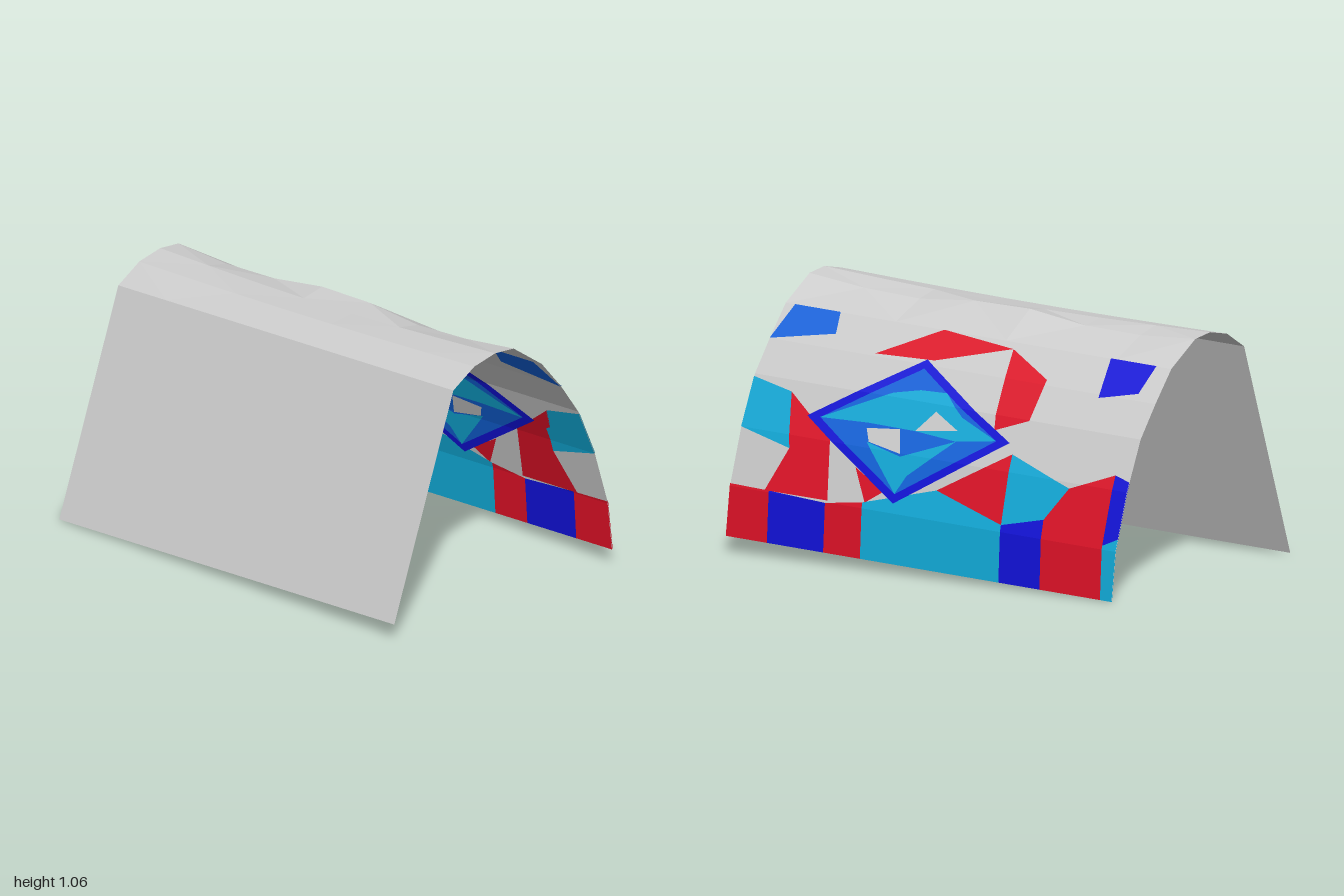
import * as THREE from 'three';

// Front edge of the vault, from the foot of the plain wall over the crown to the patterned foot
const EDGE = [
  [-0.645, 0.075, 0.78], [-0.30, 0.97, 0.81], [-0.19, 1.04, 0.83], [-0.08, 1.065, 0.85],
  [0.02, 1.055, 0.865], [0.15, 0.955, 0.905], [0.25, 0.83, 0.925], [0.33, 0.70, 0.95],
  [0.41, 0.50, 0.97], [0.47, 0.27, 0.99], [0.485, 0.07, 1.0],
].map(p => new THREE.Vector3(...p));
const SWEEP = new THREE.Vector3(0.16, -0.067, -1.783); // front edge to back edge
const FIRST = 5; // first profile row that carries the pattern
const LAST = EDGE.length - 1;
const SEGMENTS = 7;

const RED = 0xdd1026, BLUE = 0x1010d8, CYAN = 0x10aad8, AZURE = 0x1062da, GREY = 0xcccccc;

// Outward direction of the profile at each row
const OUT = EDGE.map((p, i) => {
  const a = EDGE[Math.max(i - 1, 0)], b = EDGE[Math.min(i + 1, LAST)];
  return new THREE.Vector3(-(b.y - a.y), b.x - a.x, 0).normalize();
});

// Uneven sag of the crown along its length, none at the two ends
function sag(row, t) {
  const ends = Math.sin(Math.PI * t);
  if (row === 3) return -0.022 * ends;
  if (row === 4) return -0.02 * ends * (1 + 1.6 * Math.cos(9 * t - 1.5));
  return row === 2 ? -0.01 * ends : 0;
}

function mesh(name, positions, color) {
  const geometry = new THREE.BufferGeometry();
  geometry.setAttribute('position', new THREE.Float32BufferAttribute(positions, 3));
  geometry.computeVertexNormals();
  const material = new THREE.MeshStandardMaterial({ color, flatShading: true, side: THREE.DoubleSide });
  const m = new THREE.Mesh(geometry, material);
  m.name = name;
  return m;
}

// Grey shell between two profile rows
function shell(name, from, to) {
  const at = (i, j) => {
    const t = j / SEGMENTS;
    const p = EDGE[i].clone().addScaledVector(SWEEP, t);
    p.y += sag(i, t);
    return p.toArray();
  };
  const out = [];
  for (let i = from; i < to; i++) {
    for (let j = 0; j < SEGMENTS; j++) {
      const a = at(i, j), b = at(i + 1, j), c = at(i + 1, j + 1), d = at(i, j + 1);
      out.push(...((i + j) % 2 ? [a, b, c, a, c, d] : [a, b, d, b, c, d]).flat());
    }
  }
  return mesh(name, out, GREY);
}

// Side position (z, y) to surface coordinates: t along the sweep, v = height on the front edge
function unroll([z, y]) {
  let t = 0.5, v = y;
  for (let k = 0; k < 4; k++) {
    v = THREE.MathUtils.clamp(y - SWEEP.y * t, EDGE[LAST].y, EDGE[FIRST].y);
    let i = FIRST;
    while (i < LAST - 1 && EDGE[i + 1].y > v) i++;
    const f = (v - EDGE[i].y) / (EDGE[i + 1].y - EDGE[i].y);
    const z0 = THREE.MathUtils.lerp(EDGE[i].z, EDGE[i + 1].z, f);
    t = THREE.MathUtils.clamp((z - z0) / SWEEP.z, 0, 1);
  }
  return new THREE.Vector2(t, v);
}

// Keeps the part of a polygon above (sign 1) or below (sign -1) a height
function cut(poly, height, sign) {
  const out = [];
  poly.forEach((p, k) => {
    const q = poly[(k + 1) % poly.length];
    const dp = (p.y - height) * sign, dq = (q.y - height) * sign;
    if (dp >= 0) out.push(p);
    if (dp * dq < 0) out.push(p.clone().lerp(q, dp / (dp - dq)));
  });
  return out;
}

// Coloured patch laid on both faces of the shell, corners as (z, y)
function patch(name, color, layer, corners) {
  const poly = corners.map(unroll);
  const out = [];
  for (let i = FIRST; i < LAST; i++) {
    const a = EDGE[i], b = EDGE[i + 1];
    const piece = cut(cut(poly, b.y, 1), a.y, -1);
    if (piece.length < 3) continue;
    const faces = THREE.ShapeUtils.triangulateShape(piece, []);
    for (const lift of [0.0025 * layer, -0.0025 * layer]) {
      for (const k of faces.flat()) {
        const f = (piece[k].y - a.y) / (b.y - a.y);
        const p = a.clone().lerp(b, f).addScaledVector(SWEEP, piece[k].x);
        p.addScaledVector(OUT[i].clone().lerp(OUT[i + 1], f), lift);
        out.push(p.x, p.y, p.z);
      }
    }
  }
  return mesh(name, out, color);
}

// Bottom course: tops of its joints, front to back, and the colour between neighbours
const LOWER = [[1.02, 0.28], [0.81, 0.27], [0.55, 0.25], [0.38, 0.27], [0.05, 0.35],
  [-0.26, 0.25], [-0.45, 0.29], [-0.73, 0.22], [-0.83, 0.25]];
const LOWER_COLORS = [RED, BLUE, RED, CYAN, CYAN, BLUE, RED, CYAN];

// Second course, standing on the back half of the bottom one
const UPPER = [LOWER[4], [-0.27, 0.52], [-0.55, 0.42], [-0.75, 0.49], [-0.85, 0.47]];
const UPPER_COLORS = [RED, CYAN, RED, BLUE];

// One patch between each pair of neighbouring joints
function course(name, tops, feet, colors) {
  return colors.map((color, i) => patch(name, color, 1, [tops[i], tops[i + 1], feet[i + 1], feet[i]]));
}

// Loose patches
function scattered() {
  return [
    patch('upperFrontPatch', AZURE, 1, [[0.86, 0.96], [0.65, 0.95], [0.64, 0.87], [0.93, 0.83]]),
    patch('upperBackPatch', BLUE, 1, [[-0.6, 0.91], [-0.81, 0.9], [-0.77, 0.79], [-0.6, 0.76]]),
    patch('archPatch', RED, 1, [[0.44, 0.82], [0.17, 0.95], [-0.16, 0.89], [0.17, 0.82]]),
    patch('archPatch', RED, 1, [[-0.16, 0.89], [-0.35, 0.8], [-0.32, 0.65], [-0.17, 0.6]]),
    patch('frontCyanPatch', CYAN, 1, [[0.97, 0.69], [0.77, 0.65], [0.73, 0.57], [0.74, 0.44], [1, 0.5]]),
    patch('frontRedPatch', RED, 1, [[0.77, 0.65], [0.56, 0.49], [0.54, 0.26], [0.83, 0.27], [0.74, 0.44]]),
    patch('smallRedPatch', RED, 1, [[0.43, 0.4], [0.29, 0.32], [0.37, 0.27]]),
  ];
}

// Framed diamond: the field is the frame shrunk about its centre
function diamond() {
  const centre = [0.21, 0.56];
  const frame = [[0.2, 0.82], [-0.25, 0.56], [0.24, 0.28], [0.68, 0.57]];
  const field = frame.map(p => p.map((c, k) => THREE.MathUtils.lerp(centre[k], c, 0.87)));
  const [top, back, bottom, front] = field;
  return [
    patch('diamondFrame', BLUE, 2, frame),
    patch('diamondField', AZURE, 3, field),
    patch('diamondFrontPatch', CYAN, 4, [front, [0.31, 0.69], [0.39, 0.57]]),
    patch('diamondTopPatch', CYAN, 4,
      [[0.31, 0.69], [0.19, 0.71], [0.07, 0.71], [-0.02, 0.63], back, [-0.01, 0.54], [0.18, 0.56], [0.4, 0.57]]),
    patch('diamondBottomPatch', CYAN, 4, [[0.39, 0.5], [0.23, 0.46], [-0.01, 0.54], [0.19, 0.39], bottom]),
    patch('diamondPane', GREY, 5, [[0.4, 0.55], [0.25, 0.56], [0.23, 0.47], [0.38, 0.5]]),
    patch('diamondPane', GREY, 5, [[0.1, 0.64], [-0.01, 0.58], [0.18, 0.56]]),
    patch('diamondTopTip', AZURE, 5, [top, [0.11, 0.71], [0.29, 0.71]]),
  ];
}

export function createModel() {
  const model = new THREE.Group();
  model.name = 'vault';
  model.add(shell('plainWall', 0, 1), shell('crown', 1, FIRST), shell('patternedWall', FIRST, LAST));
  const pattern = new THREE.Group();
  pattern.name = 'pattern';
  pattern.add(
    ...scattered(),
    ...course('bottomCoursePatch', LOWER, LOWER.map(([z]) => [z, -0.02]), LOWER_COLORS),
    ...course('secondCoursePatch', UPPER, LOWER.slice(4), UPPER_COLORS),
    ...diamond(),
  );
  model.add(pattern);
  return model;
}
